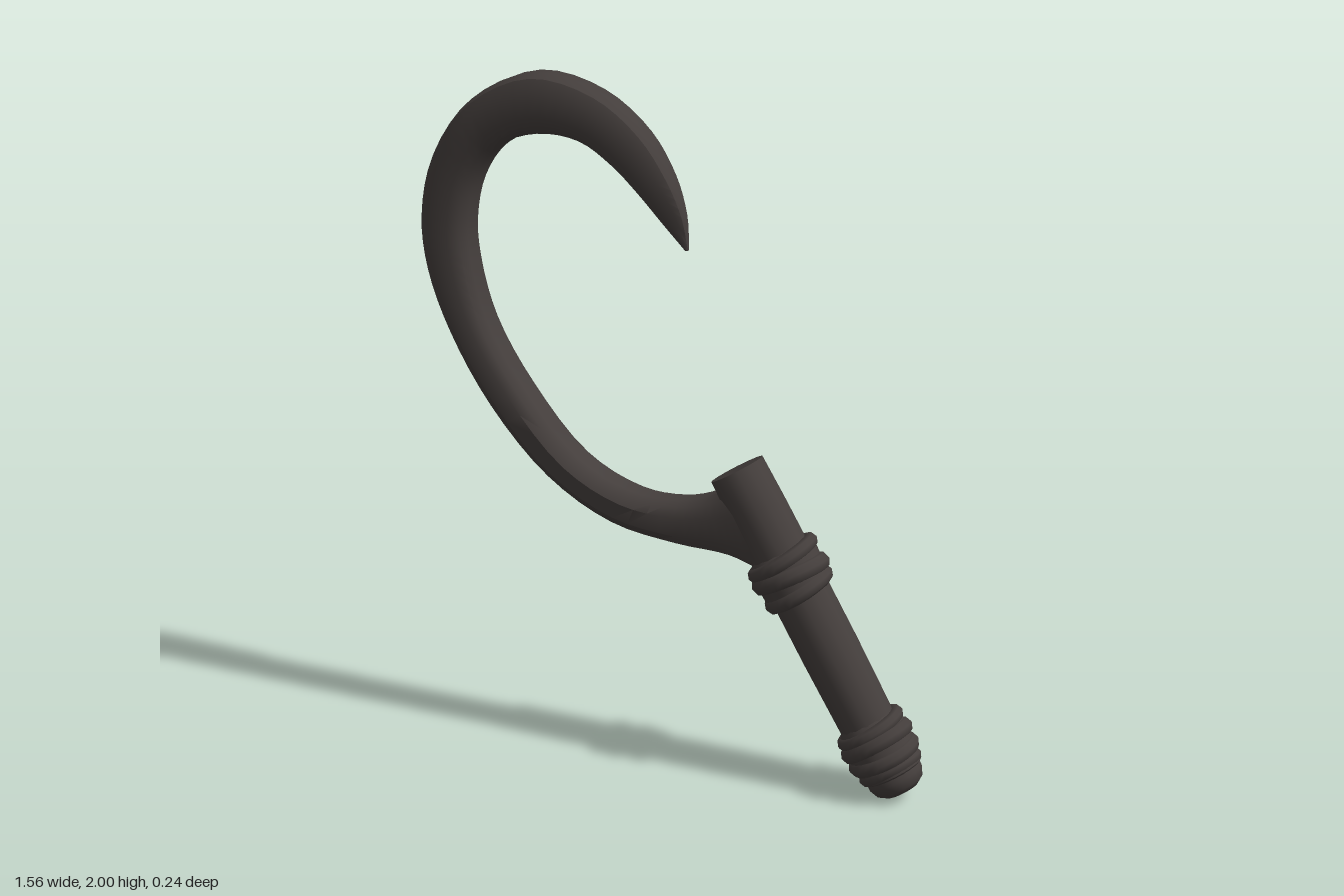
import * as THREE from 'three';
import { toCreasedNormals } from 'three/addons/utils/BufferGeometryUtils.js';

const iron = new THREE.MeshStandardMaterial({ color: 0x443e3c });
iron.name = 'dark iron';

function part(name, geometry, crease = 0.7) {
  const mesh = new THREE.Mesh(toCreasedNormals(geometry, crease), iron);
  mesh.name = name;
  return mesh;
}

// Stations from root to tip: inner x, y, outer x, y, half thickness
const stations = [
  [0.21, 0.885, 0.30, 0.625, 0.075],
  [0.13, 0.835, 0.20, 0.66, 0.072],
  [0.03, 0.805, 0.03, 0.672, 0.07],
  [-0.12, 0.81, -0.18, 0.708, 0.07],
  [-0.29, 0.885, -0.385, 0.82, 0.07],
  [-0.465, 1.075, -0.57, 1.01, 0.07],
  [-0.58, 1.26, -0.70, 1.22, 0.071],
  [-0.628, 1.43, -0.77, 1.40, 0.072],
  [-0.635, 1.55, -0.787, 1.56, 0.072],
  [-0.605, 1.68, -0.745, 1.74, 0.072],
  [-0.53, 1.78, -0.62, 1.905, 0.071],
  [-0.41, 1.825, -0.42, 1.997, 0.07],
  [-0.28, 1.815, -0.22, 1.958, 0.068],
  [-0.18, 1.755, -0.08, 1.855, 0.061],
  [-0.10, 1.68, 0.0, 1.735, 0.048],
  [-0.03, 1.602, 0.037, 1.63, 0.027],
  [0.036, 1.53, 0.046, 1.532, 0.006],
];

// Bevelled section: position from inner to outer edge, relative thickness
const halfSection = [[0, 0.4], [0.1, 0.78], [0.3, 1], [0.72, 0.98], [0.92, 0.72], [1, 0.32]];
const section = [...halfSection, ...halfSection.map(([u, w]) => [u, -w]).reverse()];

function hookGeometry() {
  const inner = new THREE.CatmullRomCurve3(stations.map(s => new THREE.Vector3(s[0], s[1], s[4])));
  const outer = new THREE.CatmullRomCurve3(stations.map(s => new THREE.Vector3(s[2], s[3], s[4])));
  const steps = (stations.length - 1) * 4;
  const n = section.length;
  const position = [], index = [];
  for (let s = 0; s <= steps; s++) {
    const a = inner.getPoint(s / steps), b = outer.getPoint(s / steps);
    for (const [u, w] of section) {
      position.push(a.x + (b.x - a.x) * u, a.y + (b.y - a.y) * u, w * (a.z + b.z) / 2);
    }
  }
  for (let s = 0; s < steps; s++) {
    for (let i = 0; i < n; i++) {
      const j = (i + 1) % n;
      const a = s * n + i, b = a + n, c = (s + 1) * n + j, d = s * n + j;
      index.push(a, b, c, a, c, d);
    }
  }
  // Close the tip and the root
  const last = steps * n;
  for (let i = 1; i < n - 1; i++) {
    index.push(last, last + i + 1, last + i, 0, i, i + 1);
  }
  const geometry = new THREE.BufferGeometry();
  geometry.setAttribute('position', new THREE.Float32BufferAttribute(position, 3));
  geometry.setIndex(index);
  geometry.computeVertexNormals();
  return geometry;
}

function lathe(points, sides) {
  return new THREE.LatheGeometry(points.map(p => new THREE.Vector2(p[0], p[1])), sides);
}

// Wound binding: a core sleeve and slightly tilted rings
function binding(name, rings, core) {
  const group = new THREE.Group();
  group.name = name;
  group.add(part('bindingSleeve', lathe(core, 24)));
  rings.forEach(([y, radius, thick, tiltX, tiltZ]) => {
    const ring = part('bindingRing', new THREE.TorusGeometry(radius - thick, thick, 8, 28), 1);
    ring.geometry.rotateX(Math.PI / 2);
    ring.position.y = y;
    ring.rotation.set(tiltX, 0, tiltZ);
    group.add(ring);
  });
  return group;
}

export function createModel() {
  const model = new THREE.Group();
  model.name = 'handHook';
  model.add(part('hook', hookGeometry(), 0.6));

  // Handle is built upright, then leaned into place
  const handle = new THREE.Group();
  handle.name = 'handle';
  handle.position.set(0.716, 0.028, 0);
  handle.rotation.z = 0.53;

  handle.add(part('grip', lathe([
    [0, 0.04], [0.08, 0.04], [0.082, 0.2], [0.086, 0.45], [0.086, 0.75],
    [0.085, 0.9], [0.082, 1.028], [0, 1.03],
  ], 14)));

  handle.add(part('endKnob', lathe([
    [0, -0.004], [0.05, 0], [0.072, 0.015], [0.083, 0.04], [0.083, 0.07], [0.07, 0.09],
  ], 20), 1));

  handle.add(binding('upperBinding', [
    [0.645, 0.110, 0.024, 0.08, 0.06],
    [0.695, 0.118, 0.028, -0.06, -0.05],
    [0.745, 0.114, 0.022, 0.07, 0.08],
  ], [[0.08, 0.62], [0.1, 0.635], [0.102, 0.75], [0.08, 0.77]]));

  handle.add(binding('lowerBinding', [
    [0.075, 0.098, 0.022, -0.06, 0.06],
    [0.115, 0.109, 0.025, 0.07, -0.05],
    [0.16, 0.113, 0.026, -0.05, 0.06],
    [0.2, 0.106, 0.02, 0.08, 0.05],
  ], [[0.075, 0.05], [0.09, 0.06], [0.098, 0.12], [0.098, 0.2], [0.08, 0.225]]));

  model.add(handle);
  return model;
}
